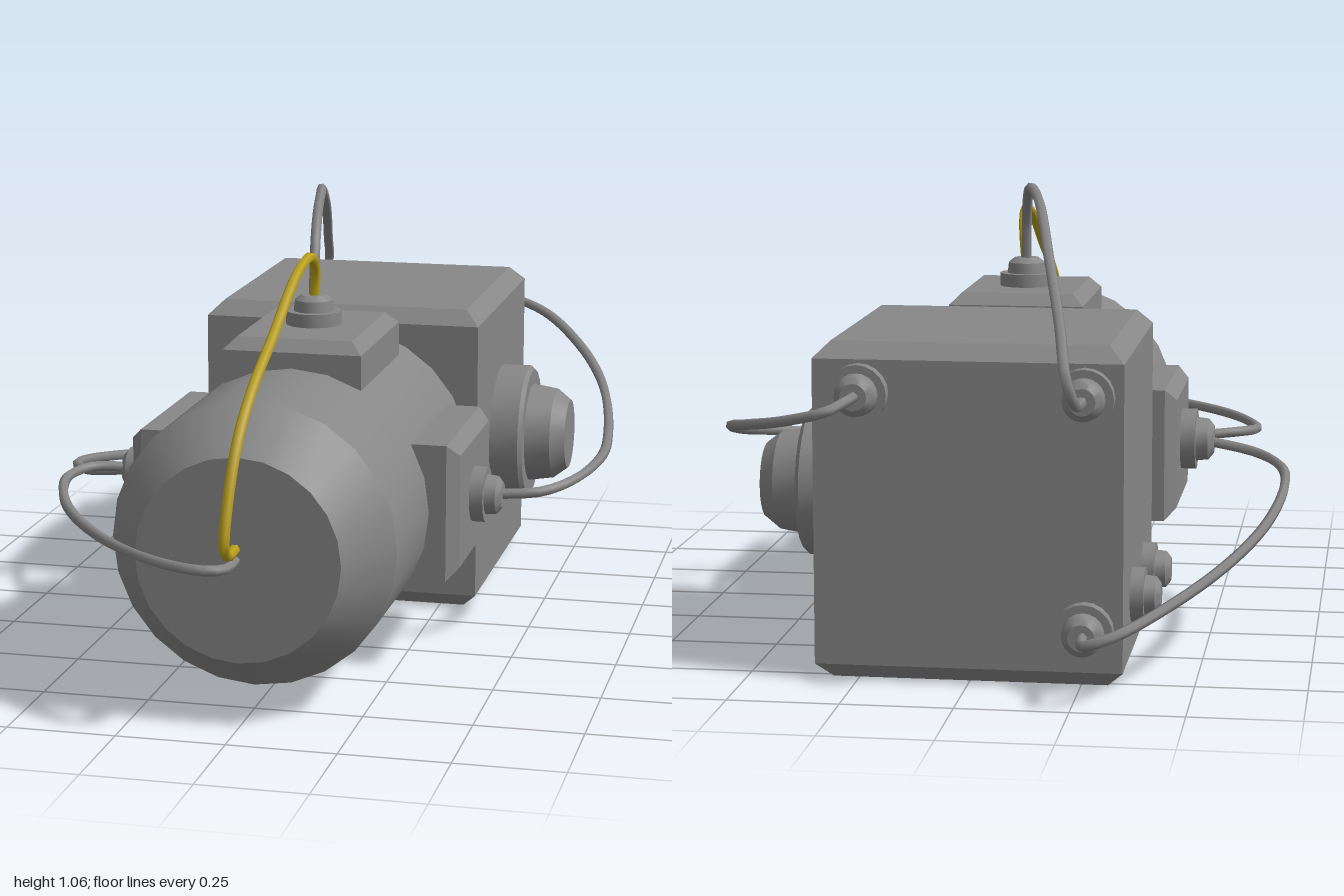
import * as THREE from 'three';
import { toCreasedNormals } from 'three/addons/utils/BufferGeometryUtils.js';

const grey = new THREE.MeshStandardMaterial({ color: 0x878787 });
const yellow = new THREE.MeshStandardMaterial({ color: 0xbda21c });

function addMesh(parent, name, geometry, material = grey) {
  const mesh = new THREE.Mesh(geometry, material);
  mesh.name = name;
  parent.add(mesh);
  return mesh;
}

// Closed turned part along +y; profile is [radius, height] from bottom to top
function turned(profile, sides = 24) {
  const pts = profile.map(([r, h]) => new THREE.Vector2(r, h));
  return toCreasedNormals(new THREE.LatheGeometry(pts, sides), 0.45);
}

// Box standing on y = 0 whose top (and optionally bottom) rim is bevelled on all four sides
function bevelledBox(w, h, d, bevel, bottomToo) {
  const g = new THREE.BoxGeometry(w, h, d, 1, 3, 1);
  const p = g.attributes.position;
  for (let i = 0; i < p.count; i++) {
    const level = Math.round((p.getY(i) / h + 0.5) * 3);
    const rim = level === 3 || (level === 0 && bottomToo);
    p.setY(i, [0, bottomToo ? bevel : h * 0.3, h - bevel, h][level]);
    if (rim) {
      p.setX(i, p.getX(i) - Math.sign(p.getX(i)) * bevel);
      p.setZ(i, p.getZ(i) - Math.sign(p.getZ(i)) * bevel);
    }
  }
  const flat = g.toNonIndexed();
  flat.computeVertexNormals();
  return flat;
}

// Turn an object's +y axis to the given direction
function aim(object, direction) {
  object.quaternion.setFromUnitVectors(new THREE.Vector3(0, 1, 0), new THREE.Vector3(...direction));
}

// Stepped cable gland
function addGland(parent, name, position, direction, scale = 1) {
  const mesh = addMesh(parent, name, turned([
    [0, -0.01], [0.066, -0.01], [0.066, 0.032], [0.048, 0.032],
    [0.045, 0.058], [0.03, 0.07], [0, 0.07],
  ], 20));
  mesh.scale.setScalar(scale);
  mesh.position.set(...position);
  aim(mesh, direction);
}

function addCable(parent, name, points, material = grey) {
  const curve = new THREE.CatmullRomCurve3(points.map((p) => new THREE.Vector3(...p)));
  addMesh(parent, name, new THREE.TubeGeometry(curve, 48, 0.0125, 6, false), material);
}

export function createModel() {
  const model = new THREE.Group();
  model.name = 'gearMotor';

  // Gearbox housing
  const housing = addMesh(model, 'gearboxHousing', bevelledBox(0.69, 0.76, 0.69, 0.036, true));
  housing.position.set(0, 0, -0.455);

  // Motor barrel with tapered front
  const barrel = addMesh(model, 'motorBarrel', turned([
    [0, -0.13], [0.327, -0.13], [0.327, 0.75], [0.233, 0.89], [0, 0.89],
  ], 24));
  barrel.rotation.x = Math.PI / 2;
  barrel.position.y = 0.383;

  // Terminal boxes on the top and both flanks of the barrel
  const top = addMesh(model, 'topTerminalBox', bevelledBox(0.33, 0.215, 0.42, 0.028, false));
  top.position.set(0, 0.56, 0.19);
  for (const [side, name] of [[1, 'leftTerminalBox'], [-1, 'rightTerminalBox']]) {
    const box = addMesh(model, name, bevelledBox(0.325, 0.215, 0.42, 0.028, false));
    box.position.set(side * 0.18, 0.383, 0.19);
    box.rotation.z = -side * Math.PI / 2;
  }

  // Output shaft hub on the gearbox flank
  const hub = addMesh(model, 'outputHub', turned([
    [0, -0.01], [0.172, -0.01], [0.172, 0.072], [0.162, 0.082], [0.125, 0.082],
    [0.115, 0.145], [0.088, 0.18], [0, 0.18],
  ], 24));
  hub.position.set(0.345, 0.385, -0.455);
  aim(hub, [1, 0, 0]);

  // Cable glands
  addGland(model, 'topGland', [0, 0.775, 0.18], [0, 1, 0]);
  addGland(model, 'leftGland', [0.395, 0.383, 0.195], [1, 0, 0]);
  addGland(model, 'rightGland', [-0.395, 0.393, 0.18], [-1, 0, 0], 1.15);
  for (const [x, y] of [[0.24, 0.65], [-0.26, 0.65], [-0.26, 0.13]]) {
    addGland(model, 'rearGland', [x, y, -0.8], [0, 0, -1]);
  }
  for (const z of [-0.59, -0.32]) {
    addGland(model, 'lowerSideGland', [-0.345, 0.168, z], [-1, 0, 0], 0.94);
  }

  // Cables
  addCable(model, 'yellowCable', [
    [0, 0.82, 0.18], [0.01, 0.91, 0.205], [0.02, 0.955, 0.3], [0.02, 0.935, 0.43],
    [0.015, 0.83, 0.63], [0.01, 0.74, 0.8], [0.005, 0.65, 0.9], [0, 0.53, 0.965],
    [-0.003, 0.44, 0.985], [-0.005, 0.41, 0.95], [-0.005, 0.41, 0.88],
  ], yellow);
  addCable(model, 'topRearCable', [
    [0, 0.82, 0.18], [-0.005, 0.95, 0.145], [-0.02, 1.015, 0.06], [-0.05, 1.043, -0.1],
    [-0.095, 1.025, -0.3], [-0.155, 0.93, -0.6], [-0.21, 0.81, -0.85],
    [-0.24, 0.71, -0.98], [-0.255, 0.66, -0.96], [-0.26, 0.65, -0.85],
  ]);
  addCable(model, 'rightRearCable', [
    [-0.45, 0.39, 0.18], [-0.58, 0.37, 0.14], [-0.65, 0.355, 0.03], [-0.665, 0.335, -0.1],
    [-0.635, 0.29, -0.35], [-0.56, 0.245, -0.6], [-0.45, 0.2, -0.83],
    [-0.34, 0.16, -0.97], [-0.28, 0.14, -0.975], [-0.26, 0.13, -0.85],
  ]);
  addCable(model, 'rightFrontCable', [
    [-0.45, 0.4, 0.2], [-0.54, 0.405, 0.235], [-0.575, 0.4, 0.31], [-0.53, 0.395, 0.49],
    [-0.44, 0.39, 0.66], [-0.3, 0.385, 0.83], [-0.15, 0.385, 0.95], [-0.05, 0.385, 0.985],
    [-0.01, 0.383, 0.96], [-0.005, 0.383, 0.88],
  ]);
  addCable(model, 'leftRearCable', [
    [0.45, 0.385, 0.195], [0.55, 0.39, 0.17], [0.62, 0.405, 0.09], [0.665, 0.43, -0.05],
    [0.66, 0.46, -0.2], [0.605, 0.515, -0.48], [0.5, 0.565, -0.75],
    [0.37, 0.61, -0.95], [0.28, 0.635, -0.985], [0.245, 0.65, -0.93], [0.24, 0.65, -0.85],
  ]);
  return model;
}
